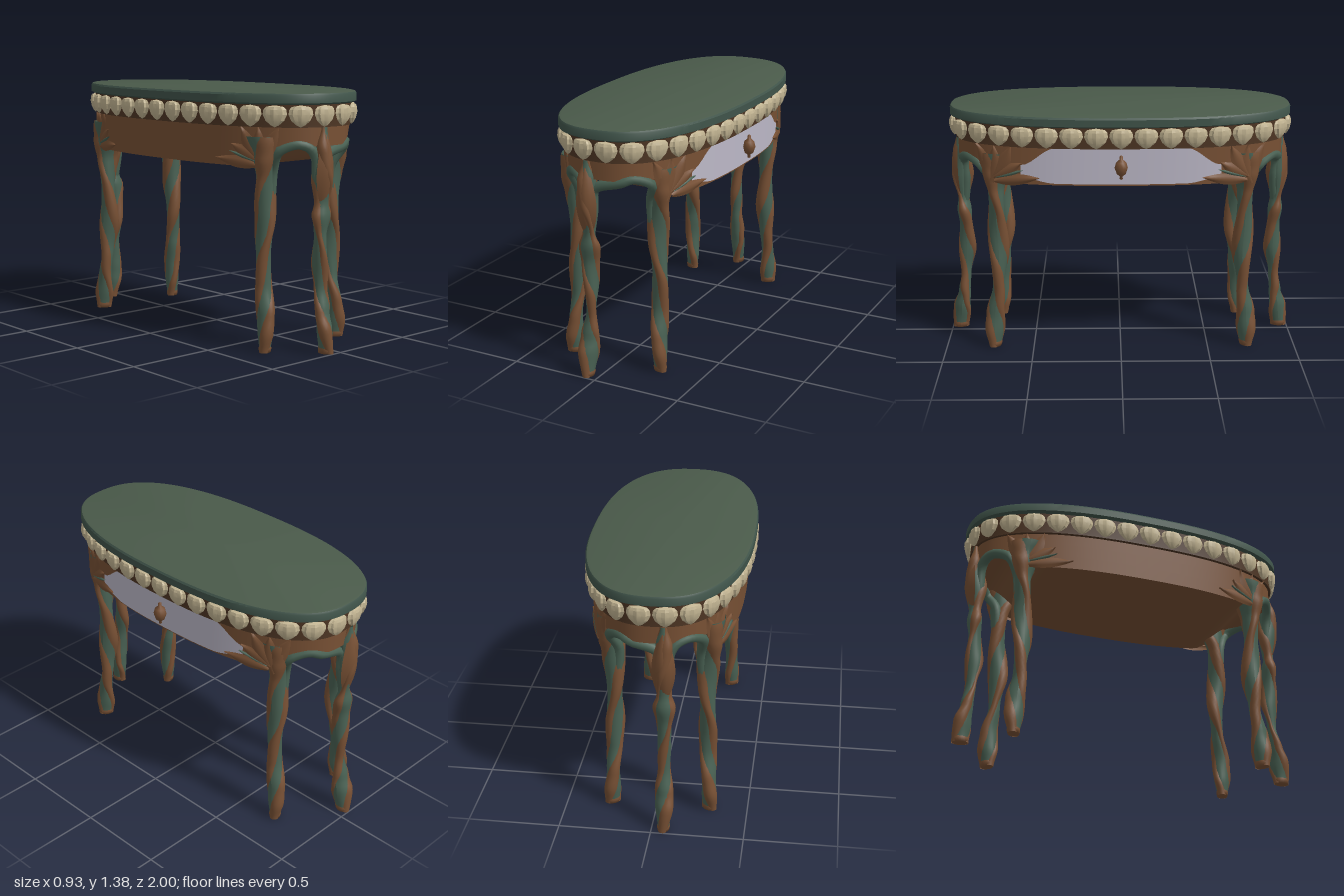
import * as THREE from 'three';
import { toCreasedNormals } from 'three/addons/utils/BufferGeometryUtils.js';

const mat = (name, color) => {
  const m = new THREE.MeshStandardMaterial({ color, side: THREE.DoubleSide });
  m.name = name;
  return m;
};
const topGreen = mat('tabletop green', 0x4a5a4a);
const rimGreen = mat('rim green', 0x40544a);
const vineGreen = mat('vine green', 0x496153);
const wood = mat('carved brown', 0x775034);
const darkWood = mat('dark brown', 0x4e3624);
const ivory = mat('ivory petals', 0xc2b492);
const lilac = mat('drawer lilac', 0xbcb8c7);

const { PI, sin, cos, abs, sign } = Math;
const N = 2.45, CX = -0.008;        // outline exponent, centre of the oval in x
const A = 0.405, B = 0.92;          // apron half sizes
const smooth = THREE.MathUtils.smoothstep, lerp = THREE.MathUtils.lerp;
const vec = (...p) => new THREE.Vector3(...p);

// point on the rounded oval
const oval = (t, a, b) => [
  a * sign(cos(t)) * abs(cos(t)) ** (2 / N), b * sign(sin(t)) * abs(sin(t)) ** (2 / N)];
const halfWidth = z => A * Math.max(0, 1 - abs(z / B) ** N) ** (1 / N);
const apronBottom = z => 0.99 + 0.11 * smooth(abs(z), 0.6, 0.78);

// grid surface from a rule f(u, v) -> [x, y, z]
function surface(f, nu, nv) {
  const pos = [], idx = [];
  for (let i = 0; i <= nu; i++) for (let j = 0; j <= nv; j++) pos.push(...f(i / nu, j / nv));
  for (let i = 0; i < nu; i++) for (let j = 0; j < nv; j++) {
    const p = i * (nv + 1) + j, q = p + nv + 1;
    idx.push(p, p + 1, q, q, p + 1, q + 1);
  }
  const g = new THREE.BufferGeometry();
  g.setAttribute('position', new THREE.Float32BufferAttribute(pos, 3));
  g.setIndex(idx);
  g.computeVertexNormals();
  return g;
}

// oval solid lofted through rings [y, halfX, halfZ]
const loft = rings => toCreasedNormals(surface((u, v) => {
  const [y, a, b] = rings[Math.round(v * (rings.length - 1))];
  const [x, z] = oval(u * 2 * PI, a, b);
  return [CX + x, y, z];
}, 128, rings.length - 1), 0.6);

// quarter of the apron outline, addressed by distance from the long side's middle
const quarter = new THREE.CatmullRomCurve3(Array.from({ length: 41 }, (_, i) => {
  const [x, z] = oval(i / 40 * PI / 2, A, B);
  return vec(x, 0, z);
}));
const QL = quarter.getLength();
function onApron(s, y, out, sx, sz) {
  const u = THREE.MathUtils.clamp(s / QL, 0, 1);
  const p = quarter.getPointAt(u), t = quarter.getTangentAt(u);
  return [CX + sx * (p.x + out * t.z), y, sz * (p.z - out * t.x)];
}

// pointed carved leaf lying on the apron
const leaf = (s0, y0, s1, y1, w, sx, sz) => {
  const len = Math.hypot(s1 - s0, y1 - y0), ds = (s1 - s0) / len, dy = (y1 - y0) / len;
  return surface((u, v) => {
    const k = v * 2 - 1, h = k * w * sin(PI * (0.12 + 0.88 * u)), bend = 0.012 * sin(PI * u);
    return onApron(s0 + ds * len * u - dy * (h + bend), y0 + dy * len * u + ds * h,
      0.008 + 0.012 * (1 - abs(k)), sx, sz);
  }, 12, 4);
};

// smooth lookup in rows [y, x, z, radius]
function rowAt(rows, y) {
  let i = 0;
  while (i < rows.length - 2 && y > rows[i + 1][0]) i++;
  const a = rows[i], b = rows[i + 1], k = smooth(y, a[0], b[0]);
  return [1, 2, 3].map(n => lerp(a[n], b[n], k));
}

const cornerRows = [
  [0, 0.27, 0.722, 0.036], [0.1, 0.268, 0.722, 0.048], [0.2, 0.265, 0.718, 0.044], [0.36, 0.257, 0.697, 0.039],
  [0.55, 0.252, 0.687, 0.049], [0.75, 0.25, 0.698, 0.048], [0.92, 0.252, 0.697, 0.052], [1.04, 0.26, 0.69, 0.068], [1.15, 0.27, 0.68, 0.08]];
const endRows = [
  [0, 0, 0.953, 0.038], [0.13, 0, 0.942, 0.05], [0.22, 0, 0.926, 0.042], [0.35, 0, 0.91, 0.03], [0.5, 0, 0.9, 0.043],
  [0.63, 0, 0.903, 0.04], [0.73, 0, 0.91, 0.05], [0.8, 0, 0.912, 0.034], [0.95, 0, 0.912, 0.052], [1.08, 0, 0.918, 0.045], [1.2, 0, 0.925, 0.015]];

// leg: green twisting core wrapped by two brown ribbons, with a brown foot
function makeLeg(rows, x0, sx, sz, phase, ribbon) {
  const g = new THREE.Group();
  const top = rows[rows.length - 1][0], twist = y => 6.6 * y + phase;
  const at = (y, th, scale) => {
    const [x, z, r] = rowAt(rows, y);
    const R = r * scale * (1 + 0.12 * cos(2 * (th - twist(y))));
    return [x0 + sx * (x + R * cos(th)), y, sz * (z + R * sin(th))];
  };
  const add = (name, geo, m) => {
    const mesh = new THREE.Mesh(geo, m);
    mesh.name = name;
    g.add(mesh);
  };
  add('greenStem', surface((u, v) => at(u * top, v * 2 * PI, 0.94), 56, 18), vineGreen);
  for (const k of [0, 1]) add('brownRibbon', surface((u, v) => {
    const y = u * top, e = v * 2 - 1;
    const w = ribbon + 0.35 * sin(y * 13 + k * PI);
    return at(y, twist(y) + k * PI + e * w, 0.92 + 0.17 * (1 - e * e));
  }, 64, 8), wood);
  add('foot', surface((u, v) => {
    const i = Math.round(u * 3);
    return at([0, 0, 0.02, 0.035][i], v * 2 * PI, [0, 0.95, 1.04, 0.9][i]);
  }, 3, 18), wood);
  return g;
}

export function createModel() {
  const root = new THREE.Group();
  const add = (name, geo, m, parent = root) => {
    const mesh = new THREE.Mesh(geo, m);
    mesh.name = name;
    parent.add(mesh);
    return mesh;
  };

  // oval top
  add('tabletopRim', loft([[1.318, 0, 0], [1.318, 0.435, 0.945], [1.327, 0.455, 0.962], [1.366, 0.455, 0.962], [1.376, 0.448, 0.956]]), rimGreen);
  add('tabletop', loft([[1.376, 0.448, 0.956], [1.38, 0.435, 0.943], [1.38, 0, 0]]), topGreen);

  // band behind the petals
  add('band', loft([[1.2, 0.39, 0.9], [1.2, 0.425, 0.933], [1.215, 0.425, 0.933], [1.32, 0.432, 0.94]]), darkWood);

  // ring of carved petal clusters
  const ring = new THREE.CatmullRomCurve3(Array.from({ length: 96 }, (_, i) => {
    const [x, z] = oval(i / 96 * 2 * PI, 0.432, 0.94);
    return vec(CX + x, 1.262, z);
  }), true);
  const bud = new THREE.LatheGeometry([[0, -0.06], [0.02, -0.05], [0.046, -0.026], [0.06, 0.006],
    [0.056, 0.032], [0.044, 0.046], [0, 0.054]].map(p => new THREE.Vector2(...p)), 16);
  const bp = bud.attributes.position;
  for (let i = 0; i < bp.count; i++) {
    const f = 1 + 0.08 * cos(8 * Math.atan2(bp.getX(i), bp.getZ(i)));
    bp.setXYZ(i, bp.getX(i) * f, bp.getY(i), bp.getZ(i) * f * 0.46);
  }
  const budGeo = toCreasedNormals(bud, 0.3);
  const petals = new THREE.Group();
  petals.name = 'petalRing';
  root.add(petals);
  for (let i = 0; i < 34; i++) {
    const p = ring.getPointAt(i / 34), t = ring.getTangentAt(i / 34);
    const m = add('petalCluster', budGeo, ivory, petals);
    m.position.copy(p);
    m.rotation.y = Math.atan2(t.z, -t.x);
  }

  // apron wall and its underside
  add('apron', surface((u, v) => {
    const [x, z] = oval(u * 2 * PI, A, B);
    return [CX + x, lerp(apronBottom(z), 1.21, v), z];
  }, 128, 3), wood);
  add('apronUnderside', surface((u, v) => {
    const z = B * sin((u - 0.5) * PI);
    return [CX + halfWidth(z) * (v * 2 - 1), apronBottom(z), z];
  }, 60, 6), wood);

  // drawer front on the left long side, with its knob
  add('drawerFront', surface((u, v) => {
    const z = (u * 2 - 1) * 0.55, k = smooth(abs(z), 0.36, 0.55);
    return [CX + halfWidth(z) + 0.006, lerp(1.0 + 0.03 * k, 1.198 - 0.1 * k, v), z];
  }, 40, 2), lilac);
  const knob = add('drawerKnob', new THREE.LatheGeometry([[0, -0.068], [0.009, -0.062], [0.007, -0.048], [0.024, -0.035],
    [0.036, 0], [0.028, 0.03], [0.009, 0.046], [0.01, 0.062], [0, 0.07]].map(p => new THREE.Vector2(...p)), 10), wood);
  knob.position.set(0.428, 1.1, 0);
  const stem = add('knobStem', new THREE.CylinderGeometry(0.012, 0.012, 0.05, 10), wood);
  stem.rotation.z = PI / 2;
  stem.position.set(0.405, 1.1, 0);

  // corner legs, arches and leaf fans, mirrored to all four corners
  const S = 0.66 * QL;
  const fan = [[-0.03, 1.0, -0.29, 1.03, 0.032], [-0.02, 1.02, -0.19, 1.11, 0.035], [-0.02, 1.02, -0.13, 1.2, 0.04],
    [0, 0.98, -0.03, 1.2, 0.045], [0.02, 1.04, 0.08, 1.2, 0.035]];
  for (const sz of [1, -1]) {
    for (const sx of [1, -1]) {
      const corner = new THREE.Group();
      corner.name = 'cornerLeg';
      root.add(corner);
      corner.add(makeLeg(cornerRows, -0.02, sx, sz, 0.5, 0.82));
      for (const l of fan) add('fanLeaf', leaf(S + l[0], l[1], S + l[2], l[3], l[4], sx, sz), wood, corner);
      add('fanStem', leaf(S - 0.04, 1.02, S - 0.2, 1.07, 0.012, sx, sz), vineGreen, corner);
      // green vine up the inside of the corner leg, over the arch and down the end leg
      const path = [vec(-0.02 + sx * 0.244, 0.7, sz * 0.7), vec(-0.02 + sx * 0.226, 0.83, sz * 0.712),
        vec(-0.02 + sx * 0.22, 0.97, sz * 0.722)];
      for (const [a, y] of [[0.07, 1.065], [0.13, 1.1], [0.19, 1.11], [0.25, 1.09]])
        path.push(vec(...onApron(S + a, y, -0.016, sx, sz)));
      path.push(vec(-0.065 + sx * 0.03, 1.04, sz * 0.895), vec(-0.065 + sx * 0.016, 0.92, sz * 0.893), vec(-0.065, 0.78, sz * 0.908));
      add('archVine', new THREE.TubeGeometry(new THREE.CatmullRomCurve3(path), 40, 0.028, 8), vineGreen, corner);
    }
    const end = makeLeg(endRows, -0.065, 1, sz, 1.465, 0.7);
    end.name = 'endLeg';
    root.add(end);
    // long bud leaf on the outside of the end leg
    add('budLeaf', surface((u, v) => {
      const y = lerp(0.76, 1.2, u), k = v * 2 - 1, w = 0.062 * sin(PI * u ** 0.85);
      return [-0.065 + k * w, y, sz * (0.918 + 0.05 * sin(PI * u) * (1 - 0.8 * k * k) + 0.012 * u)];
    }, 16, 6), wood, end);
  }
  return root;
}
